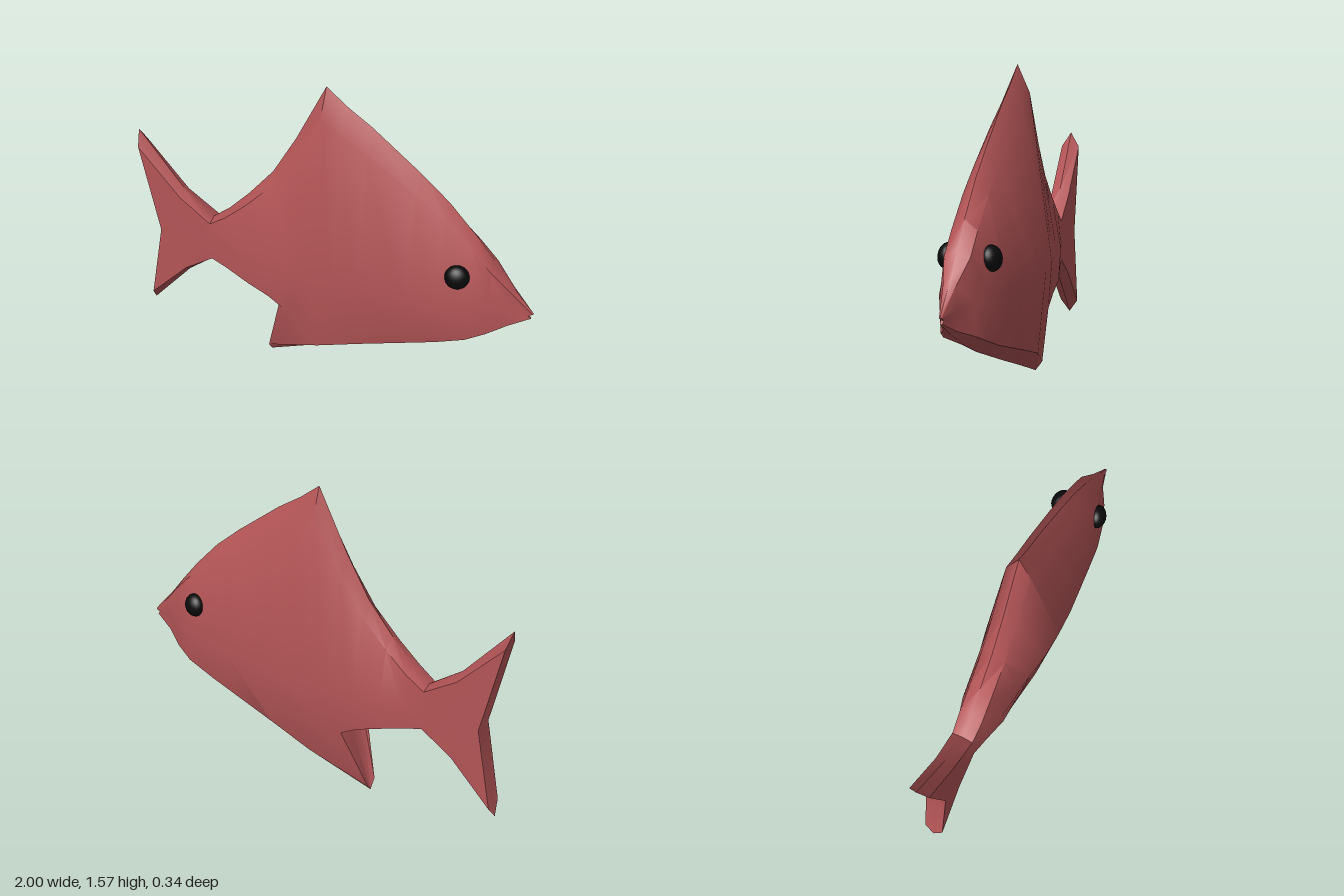
import * as THREE from 'three';
import { toCreasedNormals } from 'three/addons/utils/BufferGeometryUtils.js';

// Cross-sections from tail to nose: top x,y | middle x,y | bottom x,y | half width
const SECTIONS = [
  [-1.0, 1.16, -0.9, 0.63, -1.0, 0.15, 0.05],
  [-0.78, 0.88, -0.76, 0.63, -0.78, 0.39, 0.05],
  [-0.62, 0.75, -0.62, 0.63, -0.62, 0.51, 0.055],
  [-0.53, 0.82, -0.53, 0.63, -0.53, 0.485, 0.075],
  [-0.42, 0.93, -0.42, 0.63, -0.4, 0.44, 0.105],
  [-0.29, 1.08, -0.29, 0.63, -0.3, 0.385, 0.122],
  [-0.17, 1.28, -0.17, 0.63, -0.22, 0.32, 0.138],
  [-0.02, 1.57, -0.06, 0.63, -0.33, 0.0, 0.16],
  [0.08, 1.49, 0.07, 0.63, -0.05, 0.11, 0.17],
  [0.2, 1.41, 0.2, 0.63, 0.2, 0.205, 0.172],
  [0.43, 1.23, 0.43, 0.63, 0.43, 0.295, 0.158],
  [0.57, 1.11, 0.57, 0.63, 0.57, 0.35, 0.148],
  [0.71, 0.96, 0.71, 0.63, 0.71, 0.415, 0.117],
  [0.8, 0.85, 0.8, 0.63, 0.8, 0.465, 0.08],
  [0.89, 0.735, 0.89, 0.62, 0.89, 0.515, 0.03],
  [1.0, 0.61, 0.975, 0.595, 0.99, 0.58, 0.006],
];
const FIN = 7; // section that ends in the belly fin tip

// Eight points round a section: ridge, shoulder, flank, belly, keel and back up
function ring([tx, ty, mx, my, bx, by, w], i) {
  const mix = (a, b, t) => a + (b - a) * t;
  const up = Math.min(0.058, w * 0.95);
  const low = i === FIN ? 0.035 : Math.min(0.1, w * 0.95);
  const t = 0.14;
  const belly = i === FIN ? [-0.33, 0.05] : [mix(bx, mx, t), mix(by, my, t)];
  const shoulder = [mix(tx, mx, t), mix(ty, my, t)];
  return [
    [tx, ty, 0], [...shoulder, up], [mx, my, w], [...belly, low],
    [bx, by, 0], [...belly, -low], [mx, my, -w], [...shoulder, -up],
  ];
}

function bodyGeometry() {
  const rings = SECTIONS.map(ring);
  const n = 8;
  const pos = rings.flat(2);
  const index = [];
  for (let i = 0; i < rings.length - 1; i++) {
    for (let k = 0; k < n; k++) {
      const a = i * n + k, b = i * n + ((k + 1) % n);
      index.push(a, b, b + n, a, b + n, a + n);
    }
  }
  // End caps: forked tail edge and mouth notch
  const last = (rings.length - 1) * n, tail = rings.length * n, mouth = tail + 1;
  const first = SECTIONS[0], nose = SECTIONS[SECTIONS.length - 1];
  pos.push(first[2], first[3], 0, nose[2], nose[3], 0);
  for (let k = 0; k < n; k++) {
    const k2 = (k + 1) % n;
    index.push(tail, k2, k, mouth, last + k, last + k2);
  }
  const geo = new THREE.BufferGeometry();
  geo.setAttribute('position', new THREE.Float32BufferAttribute(pos, 3));
  geo.setIndex(index);
  return toCreasedNormals(geo, 0.8);
}

export function createModel() {
  const group = new THREE.Group();
  group.name = 'fish';

  const body = new THREE.Mesh(bodyGeometry(), new THREE.MeshStandardMaterial({ color: 0xb45557 }));
  body.name = 'body';
  group.add(body);

  // Flattened eyes, tilted to lie on the flanks
  const eyeMaterial = new THREE.MeshStandardMaterial({ color: 0x0a0a0a });
  const eyeGeometry = new THREE.SphereGeometry(0.057, 24, 16);
  for (const side of [1, -1]) {
    const eye = new THREE.Mesh(eyeGeometry, eyeMaterial);
    eye.name = side > 0 ? 'frontEye' : 'backEye';
    eye.position.set(0.653, 0.79, side * 0.1);
    eye.scale.z = 0.72;
    eye.rotation.set(-side * 0.2, side * 0.2, 0);
    group.add(eye);
  }
  return group;
}
